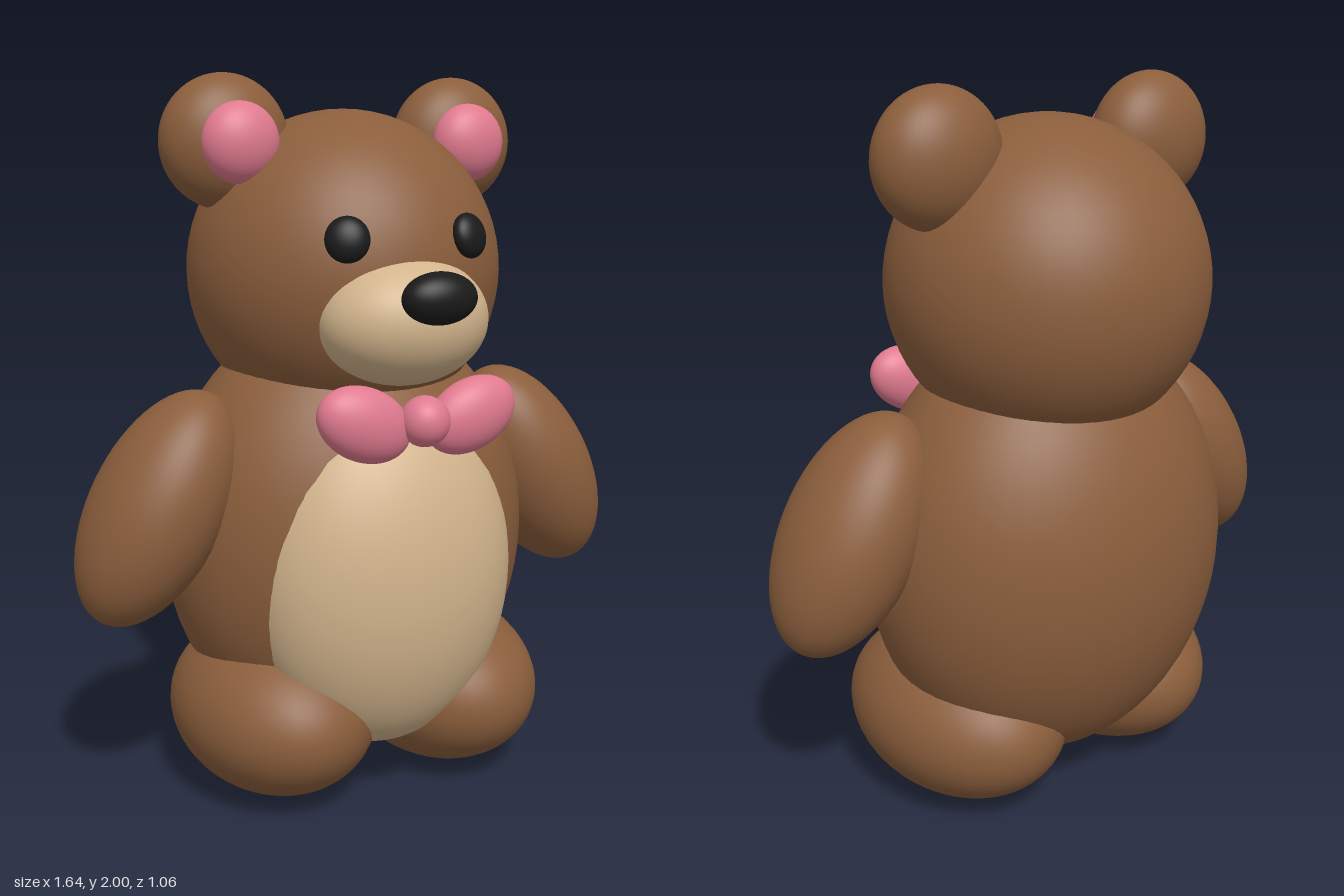
import * as THREE from 'three';

const material = (name, color) => {
  const m = new THREE.MeshStandardMaterial({ color });
  m.name = name;
  return m;
};

export function createModel() {
  const model = new THREE.Group();
  model.name = 'teddyBear';

  const brown = material('brown fur', 0x8b5e3c);
  const tan = material('tan fur', 0xd2b48c);
  const pink = material('pink', 0xe07a8f);
  const black = material('black', 0x1a1a1a);

  const ball = new THREE.SphereGeometry(1, 48, 32);

  // Every part is a smooth ellipsoid with a centre, three radii and a roll about z
  function ellipsoid(name, mat, [x, y, z], radii, roll = 0) {
    const mesh = new THREE.Mesh(ball, mat);
    mesh.name = name;
    mesh.position.set(x, y, z);
    mesh.scale.set(...radii);
    mesh.rotation.z = roll;
    model.add(mesh);
    return mesh;
  }

  // Mirrored pair: the left part is on +x
  function pair(name, mat, [x, y, z], radii, roll = 0) {
    return [['left', 1], ['right', -1]].map(([side, s]) =>
      ellipsoid(side + name, mat, [s * x, y, z], radii, s * roll));
  }

  // Torso and head
  const headCentre = [0, 1.47, -0.09];
  ellipsoid('body', brown, [0, 0.725, -0.085], [0.54, 0.64, 0.44]);
  ellipsoid('belly', tan, [0, 0.65, 0.15], [0.385, 0.5, 0.275]);
  ellipsoid('head', brown, headCentre, [0.44, 0.44, 0.44]);

  // Limbs
  pair('Arm', brown, [0.59, 0.858, -0.015], [0.181, 0.342, 0.2], 0.5);
  pair('Leg', brown, [0.265, 0.245, -0.015], [0.28, 0.24, 0.375]);

  // Ears
  pair('Ear', brown, [0.348, 1.82, -0.095], [0.18, 0.18, 0.125]);
  pair('InnerEar', pink, [0.343, 1.818, 0.01], [0.107, 0.107, 0.073]);

  // Face: the eyes lie flat against the head
  ellipsoid('snout', tan, [0, 1.365, 0.27], [0.237, 0.172, 0.187]);
  ellipsoid('nose', black, [0, 1.44, 0.465], [0.103, 0.067, 0.062]);
  for (const eye of pair('Eye', black, [0.177, 1.58, 0.305], [0.058, 0.06, 0.035])) {
    const outward = eye.position.clone().multiplyScalar(2).sub(new THREE.Vector3(...headCentre));
    eye.lookAt(outward);
  }

  // Bow tie
  pair('BowLoop', pink, [0.157, 1.115, 0.36], [0.137, 0.096, 0.069], 0.42);
  ellipsoid('bowKnot', pink, [0, 1.117, 0.395], [0.067, 0.067, 0.065]);

  return model;
}
